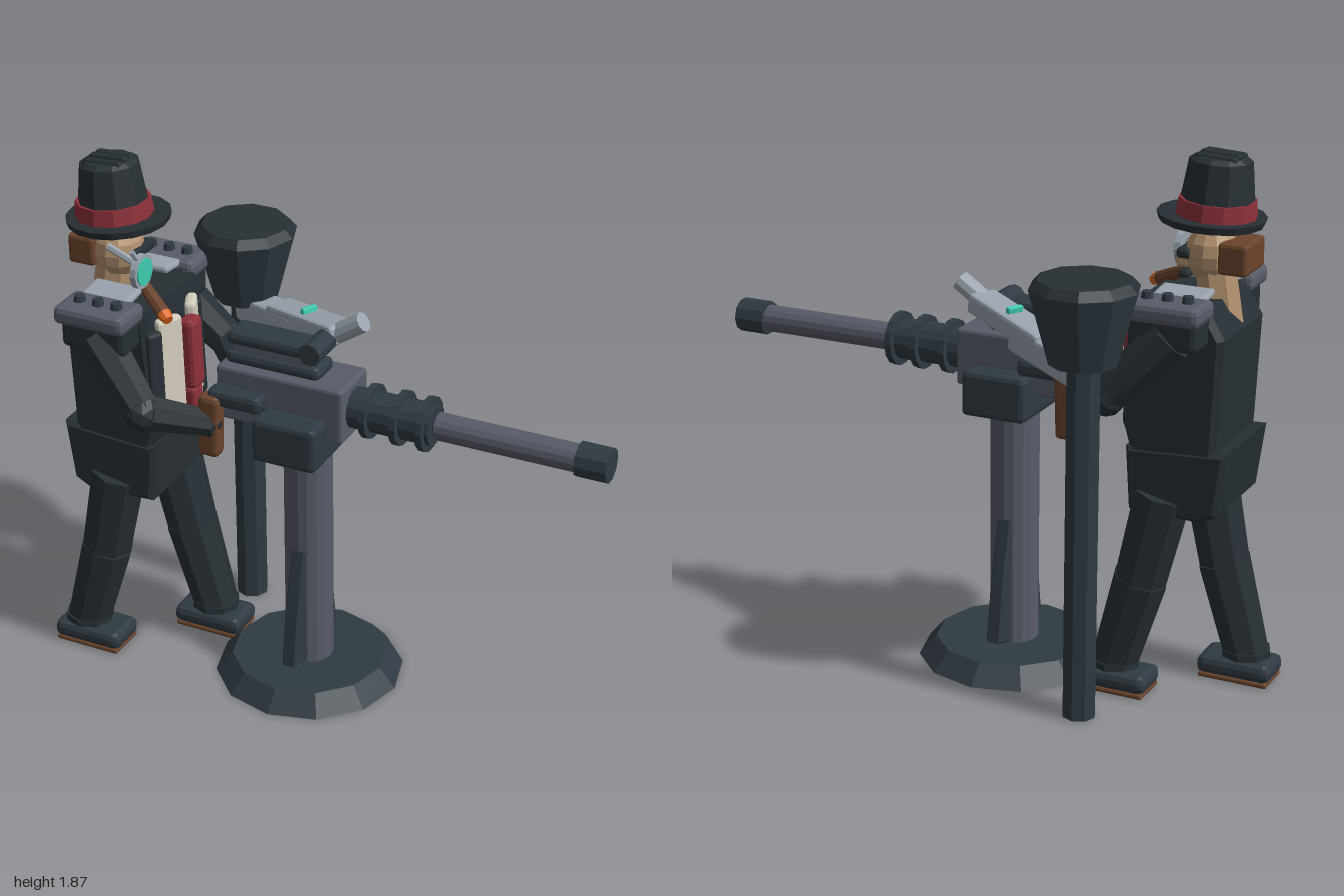
import * as THREE from 'three';
import { RoundedBoxGeometry } from 'three/addons/geometries/RoundedBoxGeometry.js';

const mat = (name, color) => Object.assign(new THREE.MeshStandardMaterial({ color }), { name });

export function createModel() {
  const M = {
    coat: mat('coat black', 0x272f34), dark: mat('dark slate', 0x303a42), gun: mat('gunmetal', 0x595c69),
    light: mat('light steel', 0x9aa3ae), skin: mat('skin', 0xb3926f), red: mat('red', 0x8c3039),
    cream: mat('cream', 0xd2ccbc), brown: mat('leather brown', 0x6a442c), teal: mat('teal glass', 0x3fcdb2),
    orange: mat('ember orange', 0xe0691f),
  };
  const root = new THREE.Group();
  const V = (p) => new THREE.Vector3(...p);
  const group = (name) => { const g = new THREE.Group(); g.name = name; root.add(g); return g; };

  // Adds a faceted mesh
  function add(parent, name, material, geo, pos = [0, 0, 0], rot = [0, 0, 0]) {
    const g = geo.index ? geo.toNonIndexed() : geo;
    g.computeVertexNormals();
    const m = new THREE.Mesh(g, material);
    m.name = name;
    m.position.set(...pos);
    m.rotation.set(...rot);
    parent.add(m);
    return m;
  }
  // Chamfered box
  const box = (p, name, m, size, pos, rot, bevel = 0.012) =>
    add(p, name, m, new RoundedBoxGeometry(...size, 1, Math.min(bevel, Math.min(...size) * 0.4)), pos, rot);
  // Upright cylinder
  const cyl = (p, name, m, rTop, rBottom, h, pos, sides = 12, rot) =>
    add(p, name, m, new THREE.CylinderGeometry(rTop, rBottom, h, sides), pos, rot);
  // Tapered rod between two points
  function rod(p, name, m, a, b, rA, rB = rA, sides = 8) {
    const A = V(a), B = V(b), d = B.clone().sub(A);
    const mesh = add(p, name, m, new THREE.CylinderGeometry(rB, rA, d.length(), sides));
    mesh.position.copy(A.add(B).multiplyScalar(0.5));
    mesh.quaternion.setFromUnitVectors(new THREE.Vector3(0, 1, 0), d.normalize());
    return mesh;
  }
  // Side profile given depth in z
  function slab(p, name, m, pts, z0, z1, bevel = 0.012) {
    const geo = new THREE.ExtrudeGeometry(new THREE.Shape(pts.map((q) => new THREE.Vector2(...q))), {
      depth: z1 - z0 - 2 * bevel, bevelEnabled: true, bevelSegments: 1,
      bevelSize: bevel, bevelThickness: bevel, bevelOffset: -bevel,
    });
    return add(p, name, m, geo, [0, 0, z0 + bevel]);
  }

  // Pedestal
  const stand = group('stand'), GX = -0.085, GZ = 0.067;
  cyl(stand, 'standBase', M.dark, 0.275, 0.335, 0.07, [GX, 0.035, GZ]);
  cyl(stand, 'standColumn', M.gun, 0.085, 0.085, 0.9, [GX, 0.5, GZ], 16);
  for (const s of [-1, 1]) {
    const fin = slab(stand, 'standFin', M.dark, [[0.06, 0.07], [0.17, 0.1], [0.14, 0.3], [0.085, 0.53], [0.06, 0.53]], -0.026, 0.026, 0.006);
    fin.rotation.y = -s * Math.PI / 2;
    fin.position.set(GX + s * 0.02, 0, GZ);
  }

  // Gun body
  const gun = group('gun');
  box(gun, 'cradle', M.dark, [0.235, 0.16, 0.38], [GX, 1.0, 0.075], undefined, 0.018);
  box(gun, 'receiver', M.gun, [0.47, 0.2, 0.205], [-0.145, 1.1, GZ]);
  box(gun, 'lid', M.dark, [0.35, 0.05, 0.13], [-0.19, 1.215, GZ], undefined, 0.02);
  box(gun, 'feedBlock', M.gun, [0.3, 0.05, 0.11], [-0.2, 1.25, 0.06]);
  box(gun, 'topCover', M.dark, [0.35, 0.05, 0.12], [-0.19, 1.285, 0.065], undefined, 0.02);
  rod(gun, 'feedRoller', M.dark, [-0.05, 1.29, -0.03], [-0.05, 1.29, 0.13], 0.04, 0.04, 10);
  for (const s of [-1, 1]) {
    box(gun, 'gripArm', M.dark, [0.2, 0.06, 0.075], [-0.275, 1.12, 0.07 + s * 0.15], undefined, 0.018);
    box(gun, 'grip', M.brown, [0.08, 0.23, 0.065], [-0.362, 1.015, 0.07 + s * 0.175], [0, 0, -0.03], 0.018);
  }
  // Barrel
  const along = (name, m, x0, x1, r, sides = 14) => rod(gun, name, m, [x0, 1.1, GZ], [x1, 1.1, GZ], r, r, sides);
  along('barrelJacket', M.dark, 0.08, 0.385, 0.072);
  for (const x of [0.155, 0.265, 0.36]) along('jacketRing', M.dark, x - 0.012, x + 0.012, 0.095);
  along('barrelCore', M.dark, 0.35, 0.45, 0.03);
  along('barrel', M.gun, 0.395, 0.9, 0.048);
  along('muzzle', M.dark, 0.89, 1.0, 0.06, 10);

  // Ammunition hopper and feed chute
  const hopper = group('hopper'), HX = -0.5, HZ = -0.29;
  cyl(hopper, 'hopperPost', M.dark, 0.058, 0.058, 1.25, [HX, 0.625, HZ], 8);
  cyl(hopper, 'hopperBin', M.dark, 0.182, 0.115, 0.25, [HX, 1.36, HZ], 10, [0, Math.PI / 10, 0]);
  cyl(hopper, 'hopperLid', M.coat, 0.155, 0.182, 0.03, [HX, 1.5, HZ], 10, [0, Math.PI / 10, 0]);
  function chute(a, b, h, w) {
    const A = V(a), B = V(b), d = B.clone().sub(A), g = new THREE.Group();
    g.name = 'feedChute';
    box(g, 'chuteBody', M.light, [d.length(), h, w], [0, 0, 0]);
    g.position.copy(A.add(B).multiplyScalar(0.5));
    g.rotation.set(0, Math.atan2(-d.z, d.x), Math.asin(d.y / d.length()), 'YXZ');
    hopper.add(g);
    return g;
  }
  chute([-0.5, 1.2, -0.29], [-0.2, 1.245, -0.13], 0.09, 0.11);
  const upper = chute([-0.33, 1.25, -0.2], [0.0, 1.31, -0.03], 0.07, 0.11);
  box(upper, 'chuteWindow', M.teal, [0.02, 0.05, 0.06], [0, 0.03, 0], undefined, 0.004);
  rod(hopper, 'feedPipe', M.light, [-0.06, 1.28, -0.03], [0.075, 1.37, -0.03], 0.035, 0.035, 10);

  // Body
  const CZ = 0.105, body = group('body');
  slab(body, 'coatTop', M.coat, [[-0.89, 1.3], [-0.87, 0.86], [-0.58, 0.86], [-0.545, 0.98], [-0.58, 1.4], [-0.83, 1.4]], -0.085, 0.295, 0.02);
  slab(body, 'coatSkirt', M.coat, [[-0.915, 0.92], [-0.885, 0.7], [-0.83, 0.67], [-0.575, 0.68], [-0.56, 0.9]], -0.09, 0.3, 0.015);
  for (const s of [-1, 1]) {
    box(body, 'shirtPanel', M.cream, [0.04, 0.36, 0.1], [-0.545, 1.17, CZ + s * 0.085], [0, -s * 0.45, 0.04]);
    box(body, 'lapel', M.coat, [0.05, 0.36, 0.06], [-0.57, 1.14, CZ + s * 0.15], [0, -s * 0.5, 0.04]);
  }
  box(body, 'tie', M.red, [0.06, 0.26, 0.08], [-0.51, 1.19, CZ - 0.005], [0, 0, 0.03], 0.018);
  box(body, 'tieTip', M.red, [0.05, 0.1, 0.065], [-0.51, 1.01, CZ - 0.005]);

  // Shoulder armour, arms and legs, mirrored about the body
  for (const s of [-1, 1]) {
    const z = (d) => CZ + s * d;
    const side = s > 0 ? 'right' : 'left';
    box(body, 'shoulderPad', M.gun, [0.265, 0.065, 0.16], [-0.72, 1.4, z(0.242)], undefined, 0.02);
    box(body, 'shoulder', M.coat, [0.24, 0.13, 0.15], [-0.72, 1.34, z(0.22)], undefined, 0.02);
    box(body, 'collarPlate', M.light, [0.18, 0.025, 0.12], [-0.73, 1.425, z(0.14)], [s * 0.12, 0, 0]);
    for (const x of [-0.79, -0.72, -0.65]) cyl(body, 'bolt', M.dark, 0.018, 0.022, 0.025, [x, 1.442, z(0.242)], 8);

    const arm = group(side + 'Arm'), sh = [-0.73, 1.31, z(0.24)], el = [-0.535, 1.1, z(0.3)], ha = [-0.37, 1.02, z(0.145)];
    rod(arm, 'upperArm', M.coat, sh, el, 0.085, 0.065);
    add(arm, 'elbow', M.coat, new THREE.IcosahedronGeometry(0.068, 1), el);
    rod(arm, 'forearm', M.coat, el, ha, 0.065, 0.048);
    box(arm, 'glove', M.coat, [0.09, 0.085, 0.08], ha, [0, s * 0.5, -0.4], 0.025);

    const leg = group(side + 'Leg'), lz = z(0.135);
    const hip = s > 0 ? [-0.735, 0.74, lz] : [-0.68, 0.74, lz];
    const knee = s > 0 ? [-0.8, 0.42, lz] : [-0.605, 0.42, lz];
    const foot = s > 0 ? [-0.89, 0.1, lz] : [-0.515, 0.1, lz];
    rod(leg, 'thigh', M.coat, hip, knee, 0.1, 0.092);
    rod(leg, 'shin', M.coat, knee, foot, 0.095, 0.082);
    cyl(leg, 'ankle', M.coat, 0.088, 0.088, 0.025, [foot[0], 0.1, lz], 8);
    const fx = s > 0 ? -0.867 : -0.52;
    box(leg, 'shoe', M.dark, [0.265, 0.065, 0.16], [fx, 0.047, lz], undefined, 0.024);
    box(leg, 'sole', M.brown, [0.25, 0.018, 0.15], [fx, 0.009, lz]);
  }

  // Head
  const head = group('head');
  rod(head, 'neck', M.skin, [-0.81, 1.3, 0.115], [-0.78, 1.5, 0.115], 0.075, 0.07);
  const skull = add(head, 'skull', M.skin, new THREE.SphereGeometry(0.09, 12, 8), [-0.77, 1.535, 0.115]);
  skull.scale.y = 1.12;
  box(head, 'hair', M.brown, [0.1, 0.105, 0.175], [-0.868, 1.538, 0.115]);
  box(head, 'nose', M.skin, [0.05, 0.05, 0.035], [-0.672, 1.5, 0.115]);
  box(head, 'eyeBand', M.coat, [0.05, 0.035, 0.125], [-0.695, 1.538, 0.1]);
  box(head, 'moustache', M.coat, [0.04, 0.025, 0.1], [-0.688, 1.462, 0.115]);

  // Monocle with its strap
  const lensTilt = [0, 0, -Math.PI / 2];
  cyl(head, 'monocleRim', M.light, 0.06, 0.06, 0.022, [-0.63, 1.515, 0.21], 14, lensTilt);
  cyl(head, 'monocleLens', M.teal, 0.048, 0.048, 0.006, [-0.617, 1.515, 0.21], 14, lensTilt);
  rod(head, 'monocleArm', M.light, [-0.76, 1.575, 0.2], [-0.63, 1.53, 0.21], 0.013, 0.013, 6);
  rod(head, 'monocleLever', M.light, [-0.63, 1.56, 0.23], [-0.64, 1.6, 0.25], 0.01, 0.01, 6);

  // Cigar
  rod(head, 'cigar', M.brown, [-0.68, 1.46, 0.15], [-0.53, 1.385, 0.238], 0.02, 0.024);
  rod(head, 'cigarEmber', M.orange, [-0.535, 1.388, 0.235], [-0.51, 1.375, 0.25], 0.025, 0.018);

  // Hat, tipped back a little
  const hat = group('hat');
  hat.position.set(-0.762, 1.65, 0.118);
  hat.rotation.z = 0.06;
  cyl(hat, 'brim', M.coat, 0.18, 0.172, 0.025, [0, 0, 0], 16);
  cyl(hat, 'hatBand', M.red, 0.128, 0.134, 0.055, [-0.015, 0.04, 0], 12);
  cyl(hat, 'crown', M.coat, 0.103, 0.12, 0.13, [-0.015, 0.13, 0], 10);
  cyl(hat, 'crownTop', M.coat, 0.082, 0.103, 0.015, [-0.015, 0.2, 0], 10);
  for (const dz of [-0.04, 0, 0.04])
    box(hat, 'crownCrease', M.coat, [0.14, 0.02, 0.03], [-0.015, dz ? 0.207 : 0.21, dz]);
  return root;
}
